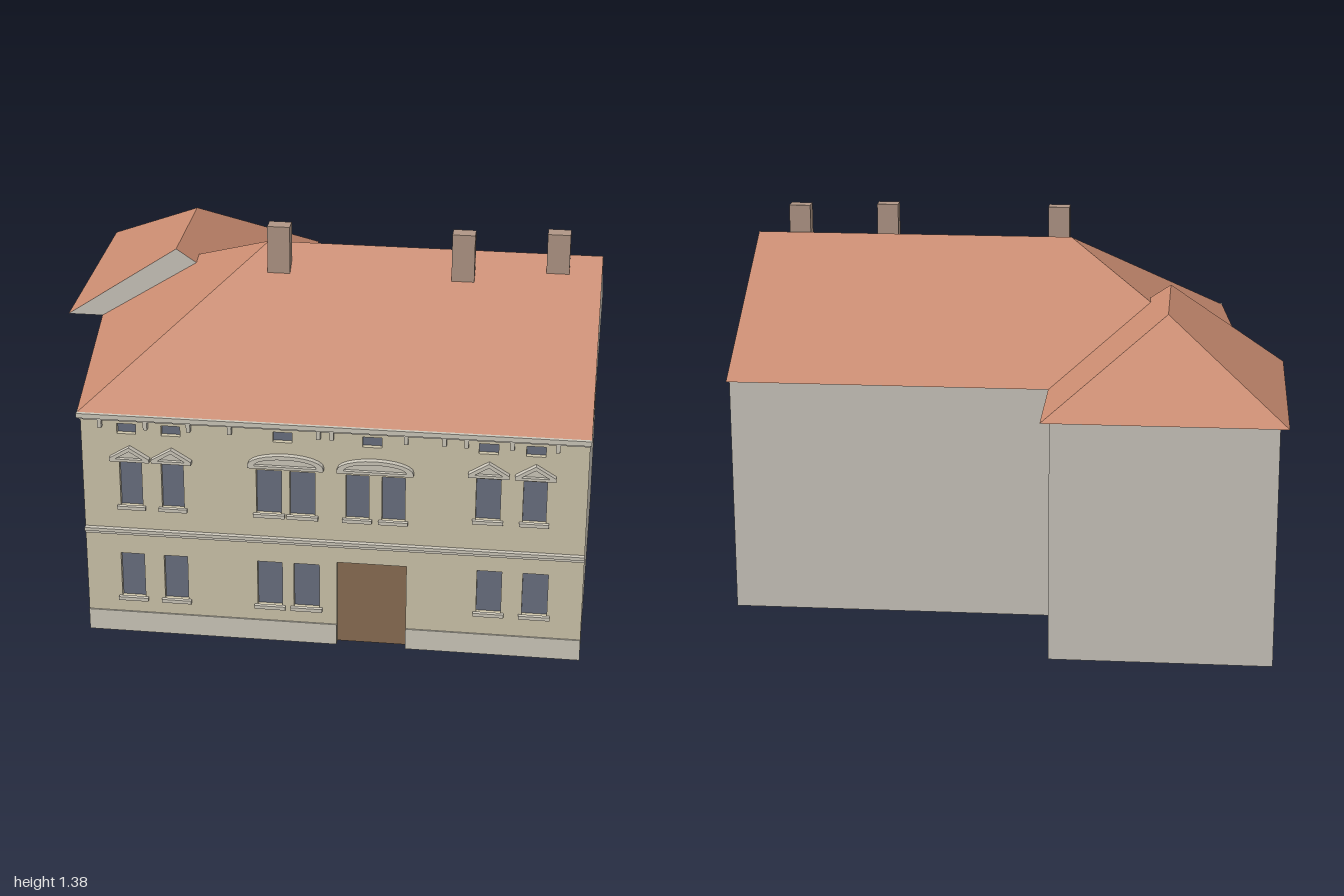
import * as THREE from 'three';

const mat = (color) => new THREE.MeshStandardMaterial({ color, flatShading: true });
const WALL = mat(0xcbc6bd), FACADE = mat(0xcfc6ac), TRIM = mat(0xcfcabd), ROOF = mat(0xc98b70);
const GLASS = mat(0x6a7080), DOOR = mat(0x8a6e53), CHIMNEY = mat(0xb09686);

const EAVE = 0.87, FRONT = 0.815, BACKING = 0.785;

function add(parent, name, geometry, material) {
  const mesh = new THREE.Mesh(geometry, material);
  mesh.name = name;
  parent.add(mesh);
  return mesh;
}

// Box given by its limits on each axis
function box(parent, name, x0, x1, y0, y1, z0, z1, material) {
  const mesh = add(parent, name, new THREE.BoxGeometry(x1 - x0, y1 - y0, z1 - z0), material);
  mesh.position.set((x0 + x1) / 2, (y0 + y1) / 2, (z0 + z1) / 2);
  return mesh;
}

// Flat polygons, each fanned into triangles
function polygons(faces) {
  const pos = [];
  for (const f of faces)
    for (let i = 1; i < f.length - 1; i++) pos.push(...f[0], ...f[i], ...f[i + 1]);
  const g = new THREE.BufferGeometry();
  g.setAttribute('position', new THREE.Float32BufferAttribute(pos, 3));
  g.computeVertexNormals();
  return g;
}

const shapeOf = (pts) => new THREE.Shape(pts.map(([x, y]) => new THREE.Vector2(x, y)));
const extrude = (shape, depth) => new THREE.ExtrudeGeometry(shape, { depth, bevelEnabled: false });

// Windows: centre x, width, bottom, top
const windows = [
  [-0.6, 0.078, 0.505, 0.675], [-0.453, 0.078, 0.505, 0.675],
  [-0.115, 0.088, 0.505, 0.675], [0.002, 0.088, 0.505, 0.675],
  [0.193, 0.08, 0.505, 0.675], [0.318, 0.08, 0.505, 0.675],
  [0.643, 0.084, 0.53, 0.69], [0.802, 0.08, 0.53, 0.69],
  [-0.605, 0.084, 0.14, 0.315], [-0.45, 0.084, 0.14, 0.315],
  [-0.115, 0.088, 0.14, 0.315], [0.015, 0.09, 0.14, 0.315],
  [0.655, 0.086, 0.165, 0.332], [0.815, 0.088, 0.165, 0.332],
];
const vents = [-0.61, -0.455, -0.066, 0.243, 0.64, 0.8].map((x) => [x, 0.066, 0.785, 0.823]);
const door = { x0: 0.122, x1: 0.366, top: 0.33 };

function buildRoofs(group) {
  const p = (x, z, y = EAVE) => [x, y, z];

  // Main roof: hipped on the slanted side, gabled on the other
  const A = p(-0.775, 0.845), B = p(0.985, 0.845), C = p(0.998, -0.45), D = p(-0.92, -0.45);
  const R1 = p(-0.2, 0.2, 1.28), R2 = p(0.99, 0.2, 1.28);
  add(group, 'mainRoof', polygons([[A, B, R2, R1], [C, D, R1, R2], [D, A, R1], [D, C, B, A]]), ROOF);
  add(group, 'mainGable', polygons([[B, C, R2]]), WALL);

  // Rear wing roof: hipped at the back, gabled towards the front
  const E = p(-1, 0), F = p(-0.16, 0), G = p(-0.16, -0.858), H = p(-1, -0.858);
  const S1 = p(-0.58, 0, 1.152), S2 = p(-0.58, -0.44, 1.152);
  add(group, 'wingRoof', polygons([[H, E, S1, S2], [F, G, S2, S1], [G, H, S2], [H, G, F, E]]), ROOF);
  add(group, 'wingGable', polygons([[E, F, S1]]), WALL);

  // Chimneys: centre x, centre z, bottom
  for (const [x, z, y] of [[-0.148, 0.29, 1.2], [0.505, 0.29, 1.2], [0.835, 0.245, 1.23]])
    box(group, 'chimney', x - 0.04, x + 0.04, y, 1.38, z - 0.027, z + 0.027, CHIMNEY);
}

function buildFacade(group) {
  // Front skin with openings and a doorway notch
  const skin = shapeOf([[-0.77, 0], [door.x0, 0], [door.x0, door.top], [door.x1, door.top],
    [door.x1, 0], [0.98, 0], [0.98, EAVE], [-0.77, EAVE]]);
  for (const [x, w, y0, y1] of [...windows, ...vents]) {
    const a = x - w / 2, b = x + w / 2;
    skin.holes.push(shapeOf([[a, y0], [a, y1], [b, y1], [b, y0]]));
    box(group, 'windowPane', a, b, y0, y1, BACKING, BACKING + 0.012, GLASS);
  }
  add(group, 'facade', extrude(skin, FRONT - BACKING), FACADE).position.z = BACKING;
  box(group, 'door', door.x0, door.x1, 0, door.top, BACKING, BACKING + 0.006, DOOR);

  // Window sills
  for (const [x, w, y0] of windows)
    box(group, 'windowSill', x - w / 2 - 0.011, x + w / 2 + 0.011, y0 - 0.01, y0 + 0.003, FRONT, 0.829, TRIM);

  // Plinth on both sides of the door
  box(group, 'plinth', -0.77, door.x0, 0, 0.08, FRONT, 0.82, TRIM);
  box(group, 'plinth', door.x1, 0.98, 0, 0.08, FRONT, 0.82, TRIM);

  // String course and stepped cornice
  box(group, 'stringCourse', -0.77, 0.98, 0.393, 0.405, FRONT, 0.824, TRIM);
  box(group, 'stringCourse', -0.77, 0.98, 0.405, 0.417, FRONT, 0.832, TRIM);
  box(group, 'cornice', -0.77, 0.98, 0.843, 0.857, FRONT, 0.838, TRIM);
  box(group, 'cornice', -0.775, 0.985, 0.855, EAVE + 0.002, FRONT, 0.855, TRIM);

  // Cornice brackets
  for (const x of [-0.7, -0.54, -0.39, -0.247, 0.06, 0.105, 0.36, 0.49, 0.565, 0.72, 0.873])
    box(group, 'bracket', x - 0.007, x + 0.007, 0.812, 0.845, FRONT, 0.834, TRIM);
}

// Hood above a window: raised rim around a shallower panel
function addHood(group, name, x, y, outline, inset) {
  const hood = new THREE.Group();
  hood.name = name;
  hood.position.set(x, y, FRONT);
  const rim = shapeOf(outline);
  rim.holes.push(shapeOf([...inset].reverse()));
  add(hood, 'hoodRim', extrude(rim, 0.021), TRIM);
  add(hood, 'hoodPanel', extrude(shapeOf(inset), 0.008), TRIM);
  group.add(hood);
}

function buildHoods(group) {
  const triangle = (w, y0, y1, lip) => [[-w, y0], [w, y0], [w, y0 + lip], [0, y1], [-w, y0 + lip]];
  for (const [x, y] of [[-0.6, 0.686], [-0.453, 0.686], [0.643, 0.702], [0.802, 0.702]])
    addHood(group, 'triangularHood', x, y, triangle(0.07, 0, 0.055, 0.012), triangle(0.046, 0.01, 0.04, 0.002));

  // Shallow arch sampled as a half sine
  const arch = (w, y0, h, lip) => {
    const pts = [[-w, y0], [w, y0]];
    for (let i = 0; i <= 12; i++) {
      const t = (i / 12) * Math.PI;
      pts.push([w * Math.cos(t), y0 + lip + h * Math.sin(t)]);
    }
    return pts;
  };
  for (const x of [-0.055, 0.255])
    addHood(group, 'archedHood', x, 0.69, arch(0.132, 0, 0.042, 0.01), arch(0.108, 0.01, 0.026, 0.002));
}

export function createModel() {
  const model = new THREE.Group();
  model.name = 'house';

  // Walls: L-shaped footprint with one slanted side, listed as x, -z
  const walls = extrude(shapeOf([[-0.773, -BACKING], [0.98, -BACKING], [0.992, 0.42],
    [-0.19, 0.42], [-0.19, 0.825], [-0.97, 0.825]]), EAVE);
  walls.rotateX(-Math.PI / 2);
  add(model, 'walls', walls, WALL);

  for (const [name, build] of [['roofs', buildRoofs], ['frontFacade', buildFacade], ['windowHoods', buildHoods]]) {
    const part = new THREE.Group();
    part.name = name;
    build(part);
    model.add(part);
  }
  return model;
}
